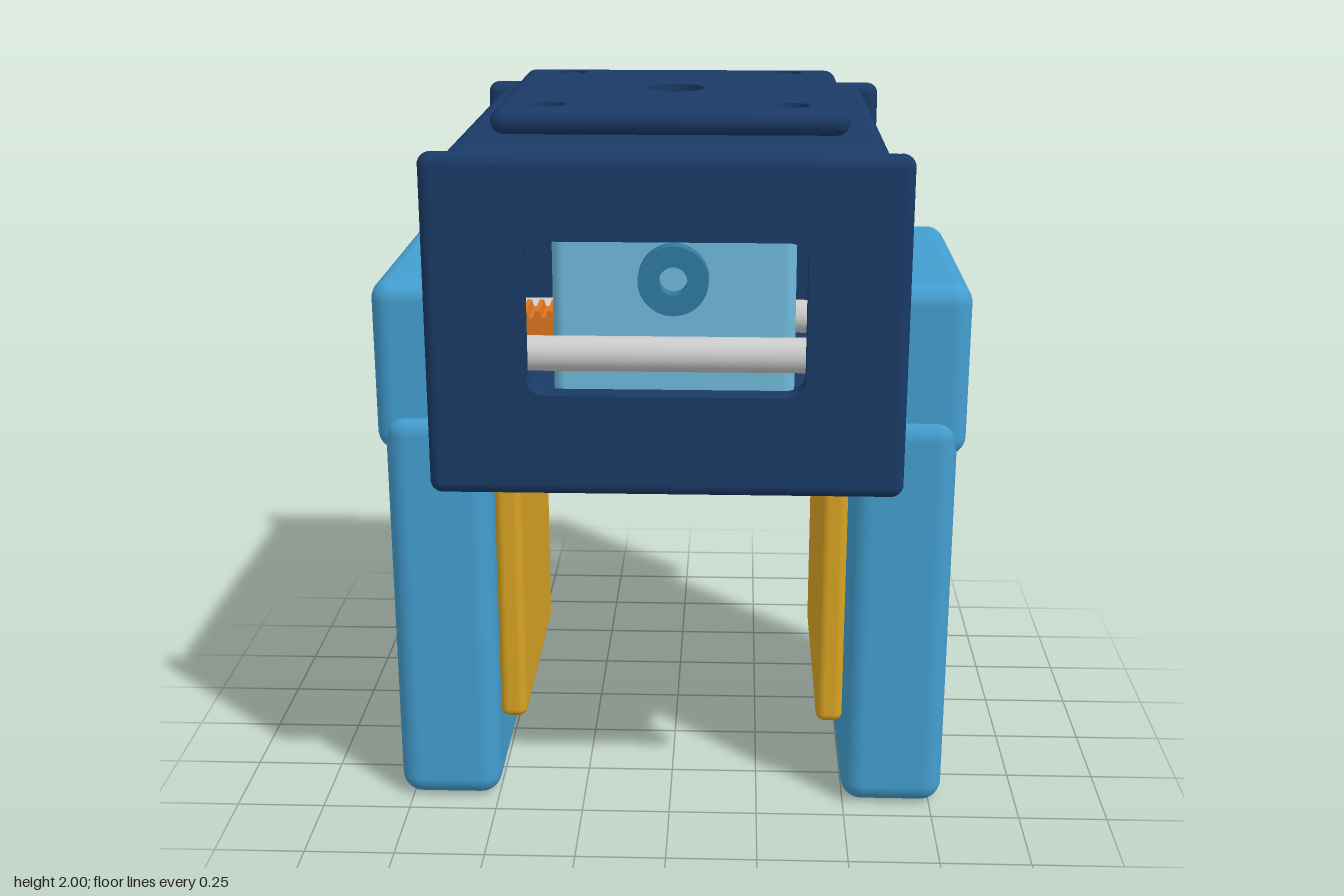
import * as THREE from 'three';
import { RoundedBoxGeometry } from 'three/addons/geometries/RoundedBoxGeometry.js';

const mat = (color) => new THREE.MeshStandardMaterial({ color });

function add(parent, name, geometry, material, x = 0, y = 0, z = 0) {
  const mesh = new THREE.Mesh(geometry, material);
  mesh.name = name;
  mesh.position.set(x, y, z);
  parent.add(mesh);
  return mesh;
}

// Rounded box given by its minimum and maximum corners
function roundedBox(parent, name, material, min, max, radius) {
  const size = max.map((v, i) => v - min[i]);
  const mid = max.map((v, i) => (v + min[i]) / 2);
  return add(parent, name, new RoundedBoxGeometry(...size, 5, radius), material, ...mid);
}

// Closed path of a rectangle with rounded corners, centred on cx, cy
function rectPath(path, cx, cy, hw, hh, r) {
  path.absarc(cx + hw - r, cy + hh - r, r, 0, Math.PI / 2);
  path.absarc(cx - hw + r, cy + hh - r, r, Math.PI / 2, Math.PI);
  path.absarc(cx - hw + r, cy - hh + r, r, Math.PI, Math.PI * 1.5);
  path.absarc(cx + hw - r, cy - hh + r, r, Math.PI * 1.5, Math.PI * 2);
  path.closePath();
  return path;
}

// Plate in the XY plane: sharp-edged openings, half-round outer rim
function plate(name, w, h, t, holes, material) {
  const group = new THREE.Group();
  group.name = name;
  const r = t / 2, hw = w / 2 - r, hh = h / 2 - r;
  const shape = new THREE.Shape();
  shape.moveTo(-hw, -hh).lineTo(hw, -hh).lineTo(hw, hh).lineTo(-hw, hh).closePath();
  shape.holes.push(...holes);
  const core = new THREE.ExtrudeGeometry(shape, { depth: t, bevelEnabled: false, curveSegments: 16 });
  add(group, name + 'Core', core, material, 0, 0, -r);
  for (const s of [-1, 1]) {
    add(group, name + 'SideRim', new THREE.CapsuleGeometry(r, hh * 2, 6, 16), material, s * hw, 0, 0);
    const rim = add(group, name + 'EndRim', new THREE.CapsuleGeometry(r, hw * 2, 6, 16), material, 0, s * hh, 0);
    rim.rotation.z = Math.PI / 2;
  }
  return group;
}

// Toothed rack: flat bar with tapered teeth underneath, running along x
function makeRack(material) {
  const rack = new THREE.Group();
  add(rack, 'rackBar', new THREE.BoxGeometry(0.297, 0.052, 0.14), material, 0.4885, 0.161, 0);
  const tooth = new THREE.Shape();
  tooth.moveTo(-0.013, 0.137).lineTo(-0.006, 0.115).lineTo(0.006, 0.115).lineTo(0.013, 0.137).closePath();
  const geometry = new THREE.ExtrudeGeometry(tooth, { depth: 0.14, bevelEnabled: false });
  for (let i = 0; i < 9; i++) add(rack, 'rackTooth', geometry, material, 0.648 - i * 0.036, 0, -0.07);
  return rack;
}

export function createModel() {
  const model = new THREE.Group();
  model.name = 'parallelGripper';
  const navy = mat(0x1a3a66), blue = mat(0x439ed0), lightBlue = mat(0x70badb);
  const teal = mat(0x2f7ca3), orange = mat(0xdc7420), yellow = mat(0xd8a322), grey = mat(0xcccccc);

  // Housing: top and bottom plates
  roundedBox(model, 'topPlate', navy, [-0.565, 1.83, -0.615], [0.565, 1.93, 0.615], 0.045);
  roundedBox(model, 'bottomPlate', navy, [-0.565, 1.04, -0.615], [0.565, 1.138, 0.615], 0.045);

  // Front and back plates with a window
  for (const [name, z] of [['frontPlate', 0.682], ['backPlate', -0.682]]) {
    const window = rectPath(new THREE.Path(), 0, 0.027, 0.357, 0.2, 0.05);
    const panel = plate(name, 1.23, 0.89, 0.066, [window], navy);
    panel.position.set(0, 1.485, z);
    model.add(panel);
  }

  // Mounting flange with centre bore and four bolt holes
  const holes = [[0, 0, 0.082]];
  for (const x of [-0.32, 0.32]) for (const y of [-0.345, 0.345]) holes.push([x, y, 0.044]);
  const flange = plate('mountingFlange', 0.935, 0.88, 0.07,
    holes.map(([x, y, r]) => new THREE.Path().absarc(x, y, r, 0, Math.PI * 2)), navy);
  flange.rotation.x = -Math.PI / 2;
  flange.position.y = 1.965;
  model.add(flange);

  // Motor block with a ring-shaped pinion on its front
  roundedBox(model, 'motorBlock', lightBlue, [-0.347, 1.12, -0.612], [0.347, 1.85, 0.125], 0.035);
  const ring = new THREE.Shape().absarc(0, 0, 0.1, 0, Math.PI * 2);
  ring.holes.push(new THREE.Path().absarc(0, 0, 0.04, 0, Math.PI * 2));
  add(model, 'pinion', new THREE.ExtrudeGeometry(ring, { depth: 0.06, bevelEnabled: false, curveSegments: 24 }),
    teal, 0, 1.485, 0.115);

  // Guide rods through both jaws
  for (const z of [-0.22, 0.22]) {
    const rod = add(model, 'guideRod', new THREE.CylinderGeometry(0.05, 0.05, 1.6, 32), grey, 0, 1.287, z);
    rod.rotation.z = Math.PI / 2;
  }

  // Racks: upper on the left, lower one turned half around the pinion axis
  for (const [name, turn] of [['upperRack', 0], ['lowerRack', Math.PI]]) {
    const rack = makeRack(orange);
    rack.name = name;
    rack.position.y = 1.485;
    rack.rotation.z = turn;
    model.add(rack);
  }

  // Jaws: carriage, finger, grip pad and rod end caps on each side
  for (const [side, s] of [['left', 1], ['right', -1]]) {
    const jaw = new THREE.Group();
    jaw.name = side + 'Jaw';
    const block = (name, material, x0, x1, y0, y1, hz, r) => roundedBox(jaw, name, material,
      [Math.min(s * x0, s * x1), y0, -hz], [Math.max(s * x0, s * x1), y1, hz], r);
    block('carriage', blue, 0.49, 0.81, 1.05, 1.535, 0.42, 0.055);
    block('finger', blue, 0.495, 0.785, 0, 1.167, 0.443, 0.06);
    block('gripPad', yellow, 0.42, 0.496, 0.225, 0.965, 0.37, 0.025);
    for (const z of [-0.22, 0.22]) {
      const cap = add(jaw, 'rodEnd', new THREE.CylinderGeometry(0.052, 0.052, 0.02, 32), teal, s * 0.802, 1.287, z);
      cap.rotation.z = Math.PI / 2;
    }
    model.add(jaw);
  }
  return model;
}
